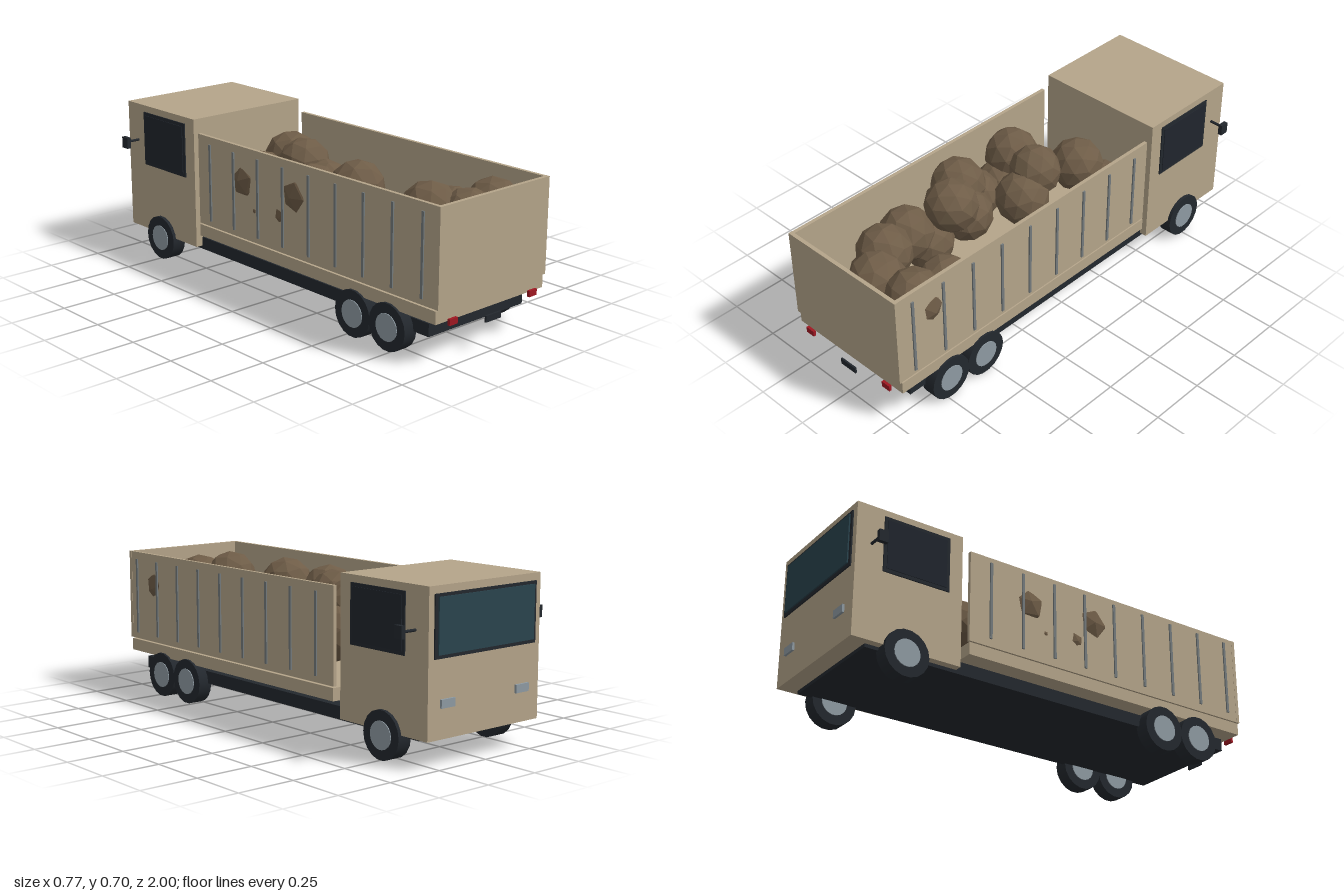
import * as THREE from 'three';

const mat = (color, flatShading = false) => new THREE.MeshStandardMaterial({ color, flatShading });

export function createModel() {
  const truck = new THREE.Group();
  truck.name = 'dumpTruck';
  const paint = mat(0xb5a58a), dark = mat(0x23282e), pane = mat(0x20252d), glass = mat(0x2a444e);
  const metal = mat(0x8f9ba3), steel = mat(0x747b7d), red = mat(0xa01822), rock = mat(0x6e5c47, true);

  const add = (name, geometry, material, x = 0, y = 0, z = 0) => {
    const mesh = new THREE.Mesh(geometry, material);
    mesh.name = name;
    mesh.position.set(x, y, z);
    truck.add(mesh);
    return mesh;
  };
  // Box given by its lower and upper corners
  const box = (name, material, x0, x1, y0, y1, z0, z1) => add(name,
    new THREE.BoxGeometry(Math.abs(x1 - x0), y1 - y0, z1 - z0), material,
    (x0 + x1) / 2, (y0 + y1) / 2, (z0 + z1) / 2);

  // Chassis, cab and cargo floor
  box('chassis', dark, -0.27, 0.27, 0.1, 0.155, -0.91, 0.91);
  box('cab', paint, -0.303, 0.303, 0.115, 0.7, -0.988, -0.497);
  box('bedFloor', paint, -0.308, 0.308, 0.18, 0.234, -0.46, 0.98);
  box('tailgate', paint, -0.308, 0.308, 0.24, 0.645, 0.975, 0.992);

  // Windscreen
  box('windscreenFrame', dark, -0.275, 0.275, 0.425, 0.67, -0.994, -0.98);
  box('windscreen', glass, -0.26, 0.26, 0.44, 0.658, -1, -0.985);

  // Rear number plate, without lettering
  box('rearPlate', dark, -0.043, 0.043, 0.125, 0.152, 0.99, 0.998);

  const tyre = new THREE.CylinderGeometry(0.1, 0.1, 0.064, 18).rotateZ(Math.PI / 2);
  const hub = new THREE.CylinderGeometry(0.058, 0.058, 0.071, 18).rotateZ(Math.PI / 2);
  const arm = new THREE.CylinderGeometry(0.006, 0.006, 0.075, 8).rotateZ(Math.PI / 2);

  for (const s of [-1, 1]) {
    // Cargo side wall with its ribs
    box('bedSide', paint, s * 0.291, s * 0.307, 0.24, 0.645, -0.46, 0.985);
    for (let i = 0; i < 9; i++) {
      const z = 0.915 - i * 0.16;
      box('sideRib', steel, s * 0.316, s * 0.322, 0.27, 0.615, z - 0.006, z + 0.006);
    }
    // Side window
    box('sideWindowFrame', dark, s * 0.295, s * 0.308, 0.425, 0.67, -0.865, -0.56);
    box('sideWindow', pane, s * 0.3, s * 0.311, 0.44, 0.655, -0.85, -0.575);
    // Mirror on its arm
    add('mirrorArm', arm, dark, s * 0.335, 0.53, -0.918);
    box('mirror', dark, s * 0.366, s * 0.385, 0.505, 0.555, -0.93, -0.89);
    // Lamps
    box('headlight', metal, s * 0.168, s * 0.24, 0.236, 0.27, -0.998, -0.98);
    box('tailLight', red, s * 0.207, s * 0.251, 0.167, 0.193, 0.988, 1);
    // Wheels
    for (const z of [-0.75, 0.535, 0.73]) {
      add('tyre', tyre, dark, s * 0.286, 0.1, z);
      add('wheelHub', hub, metal, s * 0.286, 0.1, z);
    }
  }

  // Boulders in the bed: x, y, z, radius
  const boulders = [
    [0.175, 0.42, -0.33, 0.115], [0.07, 0.51, -0.28, 0.118], [-0.205, 0.49, -0.16, 0.122],
    [-0.2, 0.38, -0.08, 0.11], [-0.01, 0.53, -0.1, 0.115], [0.01, 0.45, 0.0, 0.12],
    [-0.205, 0.5, 0.17, 0.122], [-0.2, 0.4, 0.08, 0.115], [-0.11, 0.42, 0.22, 0.12],
    [-0.09, 0.53, 0.32, 0.118], [-0.17, 0.44, 0.5, 0.122], [-0.14, 0.37, 0.42, 0.12],
    [0.165, 0.43, 0.6, 0.12], [0.14, 0.36, 0.65, 0.115], [-0.07, 0.52, 0.71, 0.12],
    [-0.09, 0.4, 0.74, 0.12], [0.02, 0.5, 0.83, 0.12], [0.0, 0.38, 0.84, 0.115],
    [0.2, 0.5, 0.8, 0.122], [0.18, 0.37, 0.83, 0.115],
  ];
  boulders.forEach(([x, y, z, r], i) => {
    const m = add('boulder', new THREE.IcosahedronGeometry(r, 1), rock, x, y, z);
    m.rotation.set(i * 1.3, i * 2.1, i * 0.7);
  });

  return truck;
}
